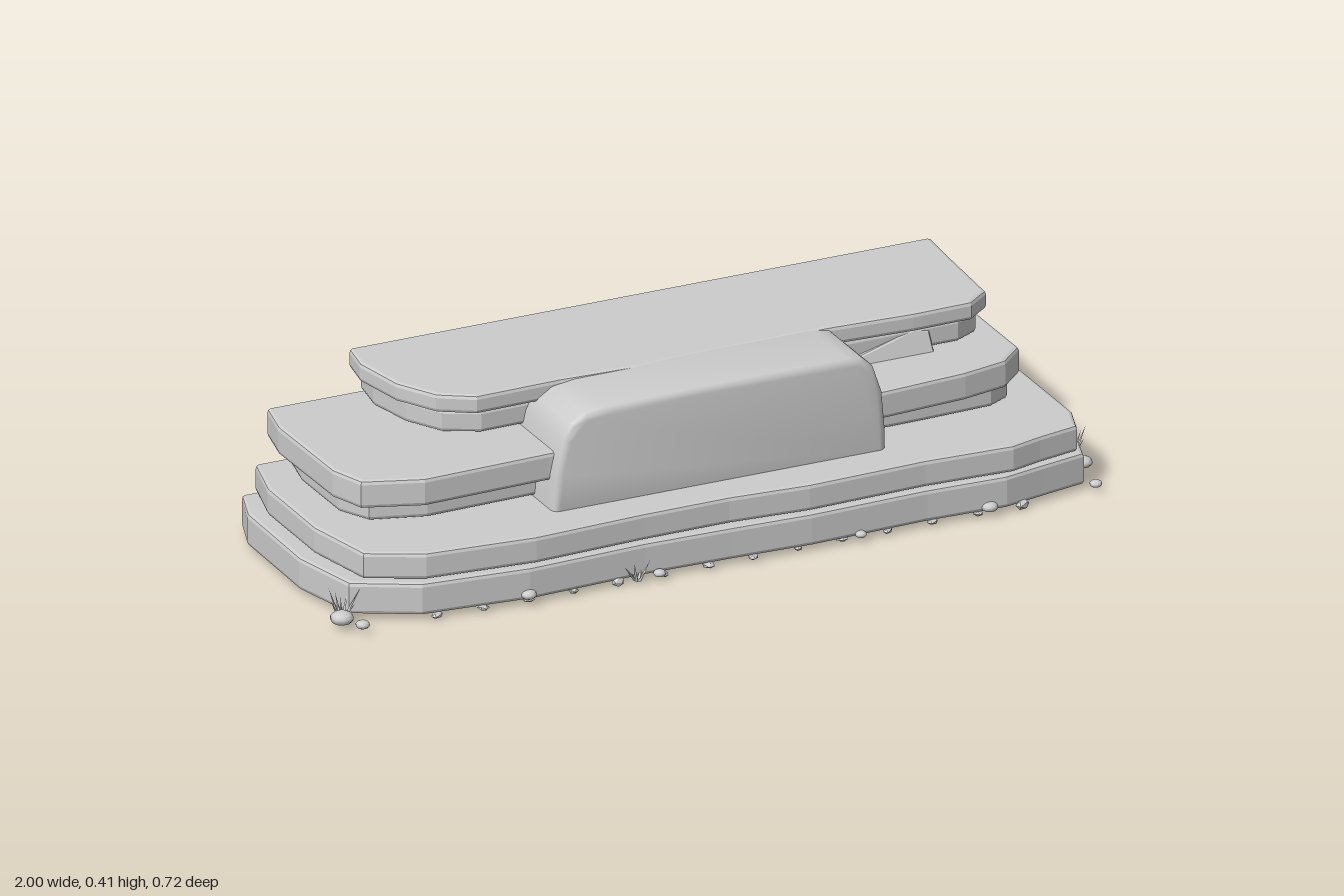
import * as THREE from 'three';
import { toCreasedNormals } from 'three/addons/utils/BufferGeometryUtils.js';

const BACK = -0.335;

export function createModel() {
  const model = new THREE.Group();
  const stone = new THREE.MeshStandardMaterial({ color: 0xcccccc });
  stone.name = 'stone grey';

  let seed = 7;
  const rand = () => (seed = (seed * 16807) % 2147483647) / 2147483647;

  function add(name, geometry, parent = model) {
    const mesh = new THREE.Mesh(geometry, stone);
    mesh.name = name;
    parent.add(mesh);
    return mesh;
  }

  // Extrude an outline with chamfers kept inside the given outline and depth
  function extrude(points, depth, bevel, segments) {
    const shape = new THREE.Shape(points.map(([a, b]) => new THREE.Vector2(a, b)));
    return new THREE.ExtrudeGeometry(shape, {
      depth: depth - 2 * bevel, bevelEnabled: true, bevelSize: bevel, bevelThickness: bevel,
      bevelOffset: -bevel, bevelSegments: segments, curveSegments: 4,
    }).translate(0, 0, bevel);
  }

  // Horizontal rock layer with a straight cut at the back; outline in x, z
  function slab(name, y0, y1, outline) {
    const geo = extrude(outline.map(([x, z]) => [x, -z]), y1 - y0, 0.01, 2);
    geo.rotateX(-Math.PI / 2).translate(0, y0, 0);
    const p = geo.attributes.position;
    for (let i = 0; i < p.count; i++) if (p.getZ(i) < BACK + 0.0125) p.setZ(i, BACK);
    geo.computeVertexNormals();
    add(name, geo);
  }

  slab('baseLayer', 0.015, 0.095, [
    [-0.935, BACK], [-0.97, -0.235], [-0.975, 0.05], [-0.935, 0.23], [-0.785, 0.31],
    [-0.52, 0.335], [-0.22, 0.322], [0, 0.327], [0.2, 0.335], [0.5, 0.325], [0.7, 0.332],
    [0.8, 0.31], [0.92, 0.285], [0.943, 0.21], [0.943, -0.27], [0.91, BACK]]);
  slab('secondLayer', 0.098, 0.165, [
    [-0.9, BACK], [-0.935, -0.2], [-0.937, 0.05], [-0.9, 0.235], [-0.77, 0.3],
    [-0.5, 0.325], [-0.22, 0.312], [0, 0.31], [0.2, 0.325], [0.5, 0.315], [0.72, 0.325],
    [0.8, 0.302], [0.905, 0.28], [0.932, 0.2], [0.932, -0.25], [0.9, BACK]]);
  slab('thirdLayer', 0.168, 0.227, [
    [-0.82, BACK], [-0.85, -0.2], [-0.85, 0], [-0.81, 0.08], [-0.68, 0.12],
    [-0.3, 0.11], [0.2, 0.118], [0.6, 0.112], [0.77, 0.105], [0.825, 0.075], [0.825, BACK]]);
  slab('fourthLayer', 0.23, 0.3, [
    [-0.87, BACK], [-0.893, -0.23], [-0.89, 0.05], [-0.86, 0.14], [-0.72, 0.19],
    [-0.4, 0.18], [0, 0.185], [0.45, 0.192], [0.67, 0.175], [0.785, 0.15], [0.848, 0.09],
    [0.848, BACK]]);
  slab('fifthLayer', 0.303, 0.36, [
    [-0.63, BACK], [-0.645, -0.24], [-0.62, -0.12], [-0.57, -0.03], [-0.49, 0.012],
    [0, 0.004], [0.4, 0.015], [0.73, 0.012], [0.79, -0.02], [0.805, -0.22], [0.81, BACK]]);
  slab('topLayer', 0.364, 0.411, [
    [-0.66, BACK], [-0.675, -0.25], [-0.65, -0.11], [-0.595, -0.01], [-0.515, 0.04],
    [-0.3, 0.035], [-0.1, 0.045], [0.05, 0.036], [0.4, 0.034], [0.6, 0.045], [0.75, 0.042],
    [0.81, -0.005], [0.822, -0.22], [0.83, BACK]]);

  // Tall front boulder with rounded shoulders
  const block = extrude([
    [-0.404, 0.15], [-0.395, 0.25], [-0.375, 0.34], [-0.355, 0.375], [-0.32, 0.397],
    [-0.26, 0.405], [-0.05, 0.4095], [0.35, 0.4095], [0.39, 0.403], [0.42, 0.375],
    [0.442, 0.31], [0.45, 0.22], [0.45, 0.15]], 0.265, 0.018, 3);
  add('frontBoulder', toCreasedNormals(block.translate(0, 0, -0.05), 0.6));

  // Leaning wedge beside the boulder, its face sloping back
  const wedge = extrude([[0.42, 0.295], [0.42, 0.306], [0.62, 0.356], [0.655, 0.346],
    [0.66, 0.295]], 0.12, 0.003, 1).translate(0, 0, -0.088);
  const wp = wedge.attributes.position;
  for (let i = 0; i < wp.count; i++) wp.setZ(i, wp.getZ(i) - (wp.getY(i) - 0.3) * 0.35);
  wedge.computeVertexNormals();
  add('leaningWedge', wedge);

  // Loose pebbles: x, y, z, radius
  const pebbles = new THREE.Group();
  pebbles.name = 'pebbles';
  model.add(pebbles);
  const pebbleGeo = new THREE.SphereGeometry(1, 10, 7);
  for (const [x, y, z, r] of [
    [-0.972, 0.03, 0.27, 0.028], [-0.938, 0.022, 0.31, 0.017], [-0.525, 0.03, 0.335, 0.019],
    [-0.19, 0.021, 0.335, 0.015], [0.325, 0.022, 0.335, 0.014], [0.657, 0.027, 0.33, 0.02],
    [0.942, 0.021, 0.303, 0.015], [0.968, 0.023, 0.18, 0.023], [-0.72, 0.025, -0.338, 0.017]]) {
    const pebble = add('pebble', pebbleGeo, pebbles);
    pebble.position.set(x, y, z);
    pebble.scale.set(r, r * 0.6, r);
  }

  // Small rubble chips along and beneath the base
  const rubble = new THREE.Group();
  rubble.name = 'rubble';
  model.add(rubble);
  const chipGeo = new THREE.IcosahedronGeometry(1, 0);
  for (let i = 0; i < 28; i++) {
    const chip = add('chip', chipGeo, rubble);
    const edge = i < 14;
    chip.position.set(edge ? -0.75 + i * 0.115 : -0.6 + rand() * 1.3, 0.013,
      edge ? 0.315 + rand() * 0.01 : -0.2 + rand() * 0.4);
    chip.scale.set(0.01 + rand() * 0.01, i % 9 === 4 ? 0.013 : 0.007, 0.01 + rand() * 0.008);
    chip.rotation.y = rand() * 3;
  }

  // Grass tufts: thin three-sided blades fanned outward
  function tuft(x, z, height, spread, count) {
    const group = new THREE.Group();
    group.name = 'grassTuft';
    group.position.set(x, 0.012, z);
    for (let i = 0; i < count; i++) {
      const h = height * (i % 2 ? 0.7 : 1);
      const a = (i / count) * Math.PI * 2 + 0.3;
      const lean = spread * (0.6 + 0.4 * rand());
      const geo = new THREE.ConeGeometry(0.005, h, 3).translate(0, h / 2, 0);
      const p = geo.attributes.position;
      for (let k = 0; k < p.count; k++) {
        const t = p.getY(k) / h;
        p.setX(k, p.getX(k) + Math.cos(a) * (0.006 + lean * t));
        p.setZ(k, p.getZ(k) + Math.sin(a) * (0.006 + lean * t));
      }
      geo.computeVertexNormals();
      add('grassBlade', geo, group);
    }
    model.add(group);
  }
  tuft(0.967, 0.123, 0.082, 0.034, 8);
  tuft(-0.955, 0.235, 0.07, 0.04, 7);
  tuft(-0.245, 0.334, 0.05, 0.026, 6);

  return model;
}
